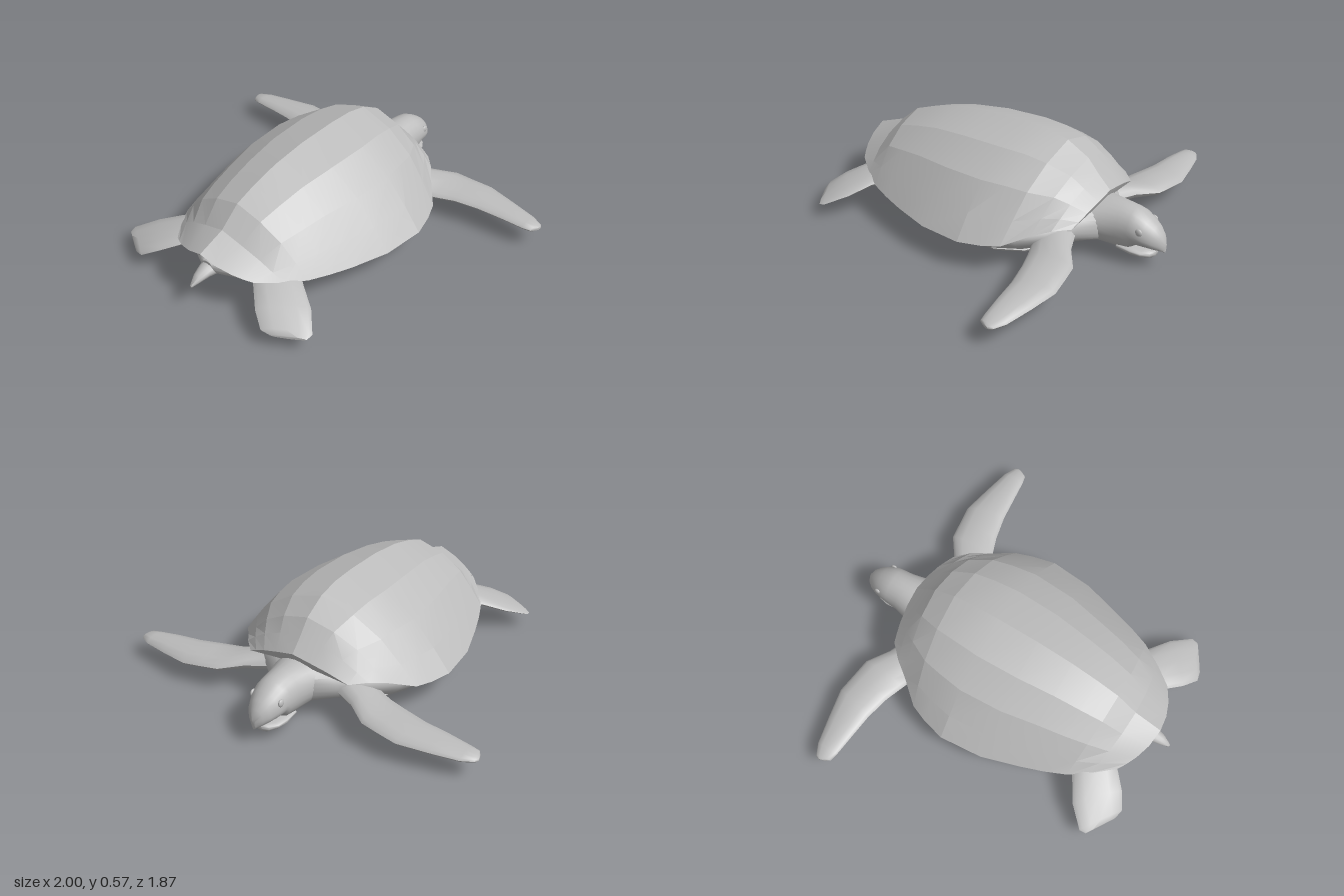
import * as THREE from 'three';
import { toCreasedNormals } from 'three/addons/utils/BufferGeometryUtils.js';

const grey = new THREE.MeshStandardMaterial({ color: 0xbcbcbc });
grey.name = 'plain grey';
const V = (x, y, z) => new THREE.Vector3(x, y, z);

// Skin a list of closed rings, cap both ends, and turn the faces outwards
function loft(rings, crease = 0.9) {
  const n = rings[0].length, pts = rings.flat(), idx = [];
  for (let r = 0; r < rings.length - 1; r++) {
    for (let i = 0; i < n; i++) {
      const a = r * n + i, b = r * n + (i + 1) % n;
      idx.push(a, b, a + n, b, b + n, a + n);
    }
  }
  for (const [r, flip] of [[0, true], [rings.length - 1, false]]) {
    const mid = rings[r].reduce((s, p) => s.add(p), V(0, 0, 0)).divideScalar(n);
    const c = pts.push(mid) - 1;
    for (let i = 0; i < n; i++) {
      const a = r * n + i, b = r * n + (i + 1) % n;
      idx.push(c, flip ? b : a, flip ? a : b);
    }
  }
  let volume = 0;
  for (let i = 0; i < idx.length; i += 3) {
    volume += pts[idx[i]].dot(V(0, 0, 0).crossVectors(pts[idx[i + 1]], pts[idx[i + 2]]));
  }
  if (volume < 0) idx.reverse();
  const geo = new THREE.BufferGeometry().setFromPoints(pts);
  geo.setIndex(idx);
  return toCreasedNormals(geo, crease);
}

// Upright oval ring: half width, centre height, reach up and reach down
function oval([z, w, y, up, down], n = 24) {
  return Array.from({ length: n }, (_, i) => {
    const a = (i / n) * Math.PI * 2, s = Math.sin(a);
    return V(w * Math.cos(a), y + s * (s > 0 ? up : down), z);
  });
}

// Lens-shaped ring between the leading and trailing edge of a flipper
function blade([lx, lz, ly, tx, tz, ty, th], side) {
  const n = 12;
  return Array.from({ length: n }, (_, i) => {
    const a = (i / n) * Math.PI * 2, t = (1 - Math.cos(a)) / 2;
    return V(side * (lx + (tx - lx) * t), ly + (ty - ly) * t + th * Math.sin(a), lz + (tz - lz) * t);
  });
}

export function createModel() {
  const group = new THREE.Group();
  const add = (name, geo) => {
    const m = new THREE.Mesh(geo, grey);
    m.name = name;
    group.add(m);
    return m;
  };

  // Domed shell: ridge z, rim z, ridge y, rim y, half width, bulge
  const columns = [[0, 1], [0.35, 0.85], [0.64, 0.59], [0.84, 0.28], [1, 0]];
  const shellRing = ([zc, zr, yc, yr, w, bulge]) => {
    const half = columns.map(([t, h]) =>
      V(w * t, yr + (yc - yr) * (1 - t + (h - 1 + t) * bulge), zc + (zr - zc) * t * t));
    half.push(V(w * 0.9, yr + 0.015, zr));
    return [...half.slice(1).reverse().map(p => V(-p.x, p.y, p.z)), ...half];
  };
  add('shell', loft([
    [0.86, 0.77, 0.30, 0.21, 0.26, 0],
    [0.71, 0.66, 0.355, 0.19, 0.35, 0.7],
    [0.60, 0.56, 0.45, 0.175, 0.415, 1],
    [0.48, 0.45, 0.495, 0.165, 0.46, 1],
    [0.33, 0.33, 0.535, 0.155, 0.50, 1],
    [0.13, 0.13, 0.562, 0.15, 0.56, 1],
    [-0.10, -0.10, 0.57, 0.152, 0.58, 1],
    [-0.24, -0.22, 0.565, 0.158, 0.55, 1],
    [-0.36, -0.31, 0.54, 0.168, 0.515, 1],
    [-0.48, -0.42, 0.475, 0.215, 0.42, 1],
    [-0.54, -0.50, 0.405, 0.24, 0.36, 0.9],
    [-0.61, -0.57, 0.335, 0.24, 0.29, 0.6],
  ].map(shellRing), 0.2));

  // Soft body under the shell
  add('body', loft([
    [0.82, 0.04, 0.20, 0.03, 0.03],
    [0.70, 0.26, 0.19, 0.06, 0.085],
    [0.57, 0.38, 0.185, 0.08, 0.10],
    [0.30, 0.47, 0.17, 0.10, 0.125],
    [0.00, 0.53, 0.17, 0.10, 0.155],
    [-0.20, 0.52, 0.17, 0.10, 0.163],
    [-0.35, 0.45, 0.18, 0.10, 0.155],
    [-0.45, 0.34, 0.17, 0.10, 0.11],
    [-0.55, 0.21, 0.17, 0.11, 0.10],
    [-0.64, 0.10, 0.17, 0.09, 0.09],
  ].map(s => oval(s))));

  // Belly plate: z, half width, edge height, depth
  add('bellyPlate', loft([
    [0.66, 0.10, 0.105, 0.015],
    [0.58, 0.21, 0.095, 0.025],
    [0.40, 0.31, 0.08, 0.033],
    [0.20, 0.38, 0.07, 0.046],
    [0.00, 0.42, 0.065, 0.056],
    [-0.20, 0.41, 0.06, 0.06],
    [-0.33, 0.33, 0.055, 0.049],
    [-0.39, 0.22, 0.055, 0.04],
  ].map(([z, w, y, d]) => oval([z, w, y, 0.02, d])), 0.6));

  // Neck and head with the overhanging beak
  add('head', loft([
    [-0.46, 0.20, 0.18, 0.11, 0.10],
    [-0.55, 0.15, 0.18, 0.115, 0.11],
    [-0.62, 0.125, 0.18, 0.118, 0.12],
    [-0.70, 0.105, 0.18, 0.117, 0.125],
    [-0.76, 0.10, 0.18, 0.11, 0.115],
    [-0.79, 0.098, 0.18, 0.102, 0.08],
    [-0.84, 0.085, 0.165, 0.09, 0.063],
    [-0.88, 0.066, 0.15, 0.075, 0.05],
    [-0.91, 0.042, 0.14, 0.05, 0.045],
    [-0.93, 0.012, 0.125, 0.02, 0.035],
  ].map(s => oval(s))));
  add('lowerJaw', loft([
    [-0.70, 0.08, 0.085, 0.02, 0.03],
    [-0.78, 0.085, 0.08, 0.02, 0.034],
    [-0.83, 0.072, 0.075, 0.017, 0.03],
    [-0.87, 0.045, 0.072, 0.018, 0.024],
    [-0.885, 0.015, 0.072, 0.014, 0.012],
  ].map(s => oval(s))));

  // Short pointed tail
  add('tail', loft([
    [0.72, 0.07, 0.19, 0.04, 0.05],
    [0.84, 0.04, 0.185, 0.03, 0.035],
    [0.89, 0.027, 0.17, 0.022, 0.022],
    [0.935, 0.006, 0.147, 0.007, 0.007],
  ].map(s => oval(s, 12))));

  // Flippers: leading x, z, y, trailing x, z, y, half thickness
  const front = [
    [0.20, -0.54, 0.16, 0.22, -0.28, 0.13, 0.06],
    [0.32, -0.59, 0.15, 0.36, -0.39, 0.13, 0.045],
    [0.43, -0.67, 0.135, 0.45, -0.425, 0.125, 0.036],
    [0.53, -0.685, 0.125, 0.55, -0.46, 0.13, 0.033],
    [0.63, -0.70, 0.118, 0.68, -0.49, 0.125, 0.03],
    [0.79, -0.67, 0.11, 0.81, -0.505, 0.12, 0.026],
    [0.93, -0.64, 0.105, 0.93, -0.52, 0.11, 0.021],
    [0.99, -0.61, 0.105, 0.975, -0.53, 0.108, 0.015],
    [1.00, -0.59, 0.105, 0.99, -0.555, 0.106, 0.007],
  ];
  const rear = [
    [0.32, 0.52, 0.18, 0.16, 0.68, 0.18, 0.04],
    [0.41, 0.59, 0.165, 0.25, 0.765, 0.165, 0.03],
    [0.52, 0.66, 0.125, 0.33, 0.84, 0.13, 0.024],
    [0.61, 0.755, 0.085, 0.41, 0.89, 0.09, 0.017],
    [0.605, 0.79, 0.076, 0.46, 0.88, 0.08, 0.008],
  ];
  for (const [side, label] of [[1, 'left'], [-1, 'right']]) {
    add(label + 'FrontFlipper', loft(front.map(s => blade(s, side))));
    add(label + 'RearFlipper', loft(rear.map(s => blade(s, side))));
    const eye = add(label + 'Eye', new THREE.SphereGeometry(0.02, 14, 10));
    eye.scale.set(0.5, 1, 1);
    eye.position.set(side * 0.082, 0.205, -0.82);
  }
  return group;
}
